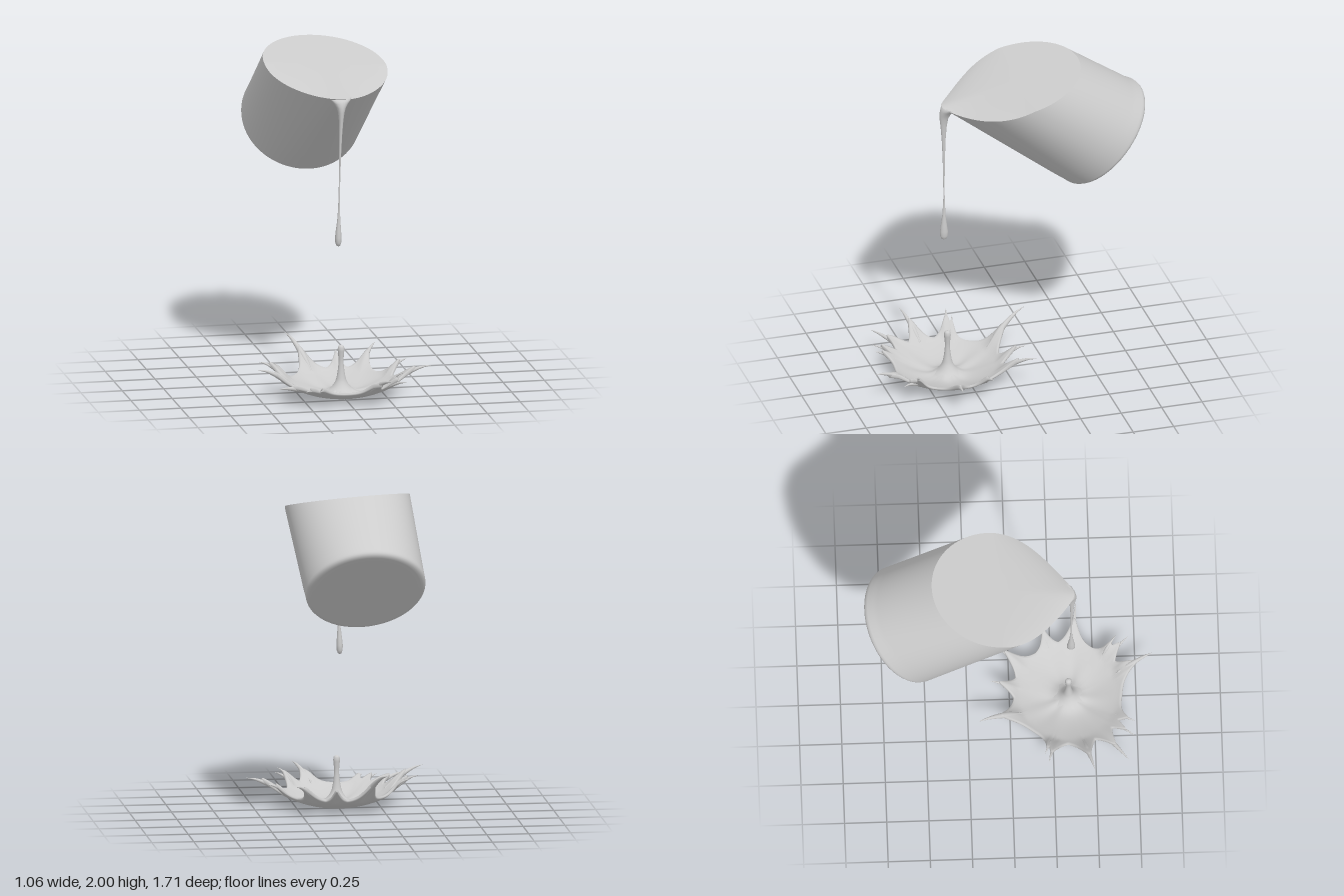
import * as THREE from 'three';

const V = (x, y, z) => new THREE.Vector3(x, y, z);
const TAU = Math.PI * 2;
const { smoothstep } = THREE.MathUtils;

// Smooth skin through rings of points (rings run counter-clockwise about the direction of progress)
function loft(rings) {
  const n = rings[0].length, pos = [], idx = [];
  rings.forEach(r => r.forEach(p => pos.push(p.x, p.y, p.z)));
  for (let i = 0; i < rings.length - 1; i++) for (let j = 0; j < n; j++) {
    const a = i * n + j, b = i * n + (j + 1) % n;
    idx.push(a, b, a + n, b, b + n, a + n);
  }
  const g = new THREE.BufferGeometry();
  g.setAttribute('position', new THREE.Float32BufferAttribute(pos, 3));
  g.setIndex(idx);
  g.computeVertexNormals();
  return g;
}
const ring = (n, f) => Array.from({ length: n }, (_, j) => f(j / n * TAU));

// Tapering tube along a curve
function horn(points, radius, n = 14, steps = 24) {
  const c = new THREE.CatmullRomCurve3(points), fr = c.computeFrenetFrames(steps);
  const rings = [];
  for (let i = 0; i <= steps; i++) {
    const p = c.getPointAt(i / steps), r = radius(i / steps);
    rings.push(ring(n, a => p.clone()
      .addScaledVector(fr.normals[i], r * Math.cos(a))
      .addScaledVector(fr.binormals[i], r * Math.sin(a))));
  }
  return loft(rings);
}

export function createModel() {
  const group = new THREE.Group();
  const mat = new THREE.MeshStandardMaterial({ color: 0xcccccc, roughness: 0.6, side: THREE.DoubleSide });
  const add = (name, geo, parent = group) => {
    const m = new THREE.Mesh(geo, mat);
    m.name = name;
    parent.add(m);
    return m;
  };

  // Tilted body of liquid: round base lofted to a level, pointed rim
  const baseC = V(-0.045, 1.456, -0.631);
  const axis = V(0.03, 0.67, 0.74).normalize();
  const v = V(0, 0.74, -0.67).normalize();
  const u = v.clone().cross(axis).normalize();
  const base = (a, r) => baseC.clone().addScaledVector(u, r * Math.cos(a)).addScaledVector(v, r * Math.sin(a));
  const surfaceY = (x, z) => 1.892 - 0.23 * z - 0.07 * x;
  const droop = a => {
    const front = Math.max(0, -Math.sin(a));
    return 0.055 * front * (1 - front ** 4);
  };
  const rim = a => {
    const s = Math.sin(a), front = Math.max(0, -s);
    const x = -0.006 + 0.37 * Math.cos(a) * (1 - 0.56 * front ** 3);
    const z = -0.08 - s * (s > 0 ? 0.38 : 0.38 + 0.085 * front);
    return V(x, surfaceY(x, z) - droop(a), z);
  };
  const N = 128, body = [];
  for (const r of [0, 0.15, 0.3, 0.325]) body.push(ring(N, a => base(a, r)));
  for (const [r, h] of [[0.339, 0.002], [0.35, 0.008], [0.356, 0.017], [0.358, 0.027], [0.358, 0.04]])
    body.push(ring(N, a => base(a, r).addScaledVector(axis, h)));
  for (let t = 0.15; t < 0.99; t += 0.07)
    body.push(ring(N, a => base(a, 0.358).lerp(rim(a), t)));
  body.push(ring(N, rim));
  add('pouringBody', loft(body));

  // Level surface of the liquid, sagging towards the front edges
  const mid = V(-0.006, 0, -0.08);
  add('liquidSurface', loft([1, 0.98, 0.95, 0.9, 0.8, 0.6, 0.3, 0].map(k =>
    ring(N, a => {
      const p = rim(a).lerp(mid, 1 - k);
      p.y = surfaceY(p.x, p.z) - droop(a) * k ** 5;
      return p;
    }))));

  // Stream falling from the lip and its drop: y, x, z, half width, half depth
  const stream = [
    [0.905, -0.02, 0.365, 0, 0], [0.91, -0.02, 0.365, 0.011, 0.014], [0.93, -0.02, 0.365, 0.018, 0.024],
    [0.96, -0.02, 0.365, 0.019, 0.024], [1.0, -0.019, 0.366, 0.016, 0.019], [1.06, -0.017, 0.366, 0.01, 0.011],
    [1.12, -0.016, 0.366, 0.006, 0.007], [1.2, -0.015, 0.366, 0.004, 0.004], [1.32, -0.012, 0.368, 0.004, 0.005],
    [1.45, -0.01, 0.369, 0.006, 0.007], [1.58, -0.007, 0.371, 0.009, 0.012], [1.67, -0.004, 0.372, 0.013, 0.019],
    [1.72, -0.003, 0.371, 0.019, 0.026], [1.75, -0.002, 0.364, 0.028, 0.034], [1.775, -0.001, 0.355, 0.044, 0.038],
    [1.792, 0, 0.345, 0.06, 0.04], [1.802, 0, 0.335, 0.066, 0.036], [1.804, 0, 0.335, 0, 0]];
  add('fallingStream', loft(stream.map(([y, x, z, rx, rz]) =>
    ring(20, a => V(x + rx * Math.sin(a), y, z + rz * Math.cos(a))))));

  // Splash crown: tips as x, y, z and thickness
  const splash = new THREE.Group();
  splash.name = 'splash';
  group.add(splash);
  const cz = 0.35, lip = 0.3;
  const tips = [
    [0.53, 0.165, 0.41, 1], [0.43, 0.16, 0.19, 0.8], [0.3, 0.195, -0.11, 1], [0.06, 0.16, -0.11, 0.8],
    [-0.23, 0.262, -0.19, 1.3], [-0.47, 0.19, 0.22, 0.9], [-0.41, 0.17, 0.2, 0.7], [-0.53, 0.205, 0.49, 1.1],
    [-0.445, 0.13, 0.69, 1], [-0.29, 0.115, 0.73, 0.55], [-0.2, 0.115, 0.735, 0.75], [0.13, 0.11, 0.68, 0.5],
    [0.2, 0.18, 0.85, 1.1], [0.32, 0.14, 0.71, 0.8], [0.315, 0.18, 0.64, 0.7],
  ].map(([x, y, z, w]) => ({ y, w, angle: Math.atan2(cz - z, x), reach: Math.hypot(x, z - cz) }));
  const bowlY = r => 0.75 * Math.max(0, r - 0.1) ** 1.6;
  // Height of a finger's spine: climbs from the bowl, then levels out
  const spineY = (t, r) => {
    if (r < lip) return bowlY(r);
    const k = Math.min(1, (r - lip) / (t.reach - lip)), y0 = bowlY(lip);
    return y0 + (t.y - y0) * (1 - (1 - k) ** 1.5);
  };
  const near = (t, a) => {
    const d = Math.atan2(Math.sin(a - t.angle), Math.cos(a - t.angle)) / (0.1 * t.w + 0.03);
    return Math.exp(0.2 - 1.3 * Math.sqrt(d * d + 0.024));
  };
  const edge = a => 0.31 + Math.max(...tips.map(t => near(t, a) * Math.min(0.13, (t.reach - lip) * 0.6)));
  const sheetY = (a, r) => {
    let sum = 0, rise = 0;
    for (const t of tips) {
      const g = near(t, a);
      sum += g;
      rise += g * (spineY(t, r) - bowlY(r));
    }
    return bowlY(r) + rise / Math.max(1, sum);
  };
  const thick = (a, r) => 0.018 + 0.01 * smoothstep(r, 0.28, 0.42);
  const polar = (a, r, y) => V(r * Math.cos(a), y, cz - r * Math.sin(a));

  // Crown sheet: underside outward, around the rim, back in over the top
  const sheet = [], M = 288, steps = 24;
  for (let i = 0; i <= steps; i++)
    sheet.push(ring(M, a => { const r = edge(a) * i / steps; return polar(a, r, sheetY(a, r)); }));
  for (const [out, h] of [[0.005, 0.25], [0.007, 0.5], [0.005, 0.75]])
    sheet.push(ring(M, a => { const r = edge(a); return polar(a, r + out, sheetY(a, r) + thick(a, r) * h); }));
  for (let i = steps; i >= 0; i--)
    sheet.push(ring(M, a => {
      const k = i / steps, r = edge(a) * k;
      const fold = 0.003 * Math.sin(a * 7 + Math.sin(a * 3)) * Math.sin(k * Math.PI);
      return polar(a, r, sheetY(a, r) + thick(a, r) + fold + 0.05 * Math.exp(-((r / 0.07) ** 2)));
    }));
  add('crownSheet', loft(sheet), splash);

  // Fingers flung off the rim, rooted inside the sheet
  for (const t of tips) {
    const spine = [0, 0.2, 0.4, 0.6, 0.8, 1].map(k => {
      const r = 0.31 + (t.reach - 0.31) * k;
      return polar(t.angle, r, spineY(t, r) + 0.012 * (1 - k));
    });
    add('splashFinger', horn(spine, k => t.w * (0.006 + 0.011 * smoothstep(k, 0, 0.45)) * (1 - k ** 1.7) + 0.001), splash);
  }

  // Rebound jet rising from the middle
  const jet = new THREE.SplineCurve([[0.1, 0.02], [0.06, 0.045], [0.035, 0.08], [0.024, 0.12], [0.017, 0.17],
    [0.015, 0.21], [0.018, 0.25], [0.02, 0.275], [0.015, 0.294], [0, 0.301]].map(p => new THREE.Vector2(...p)));
  const profile = jet.getPoints(48);
  profile.forEach(p => { p.x = Math.max(0, p.x); });
  add('reboundJet', new THREE.LatheGeometry(profile, 32), splash).position.z = cz;

  return group;
}
